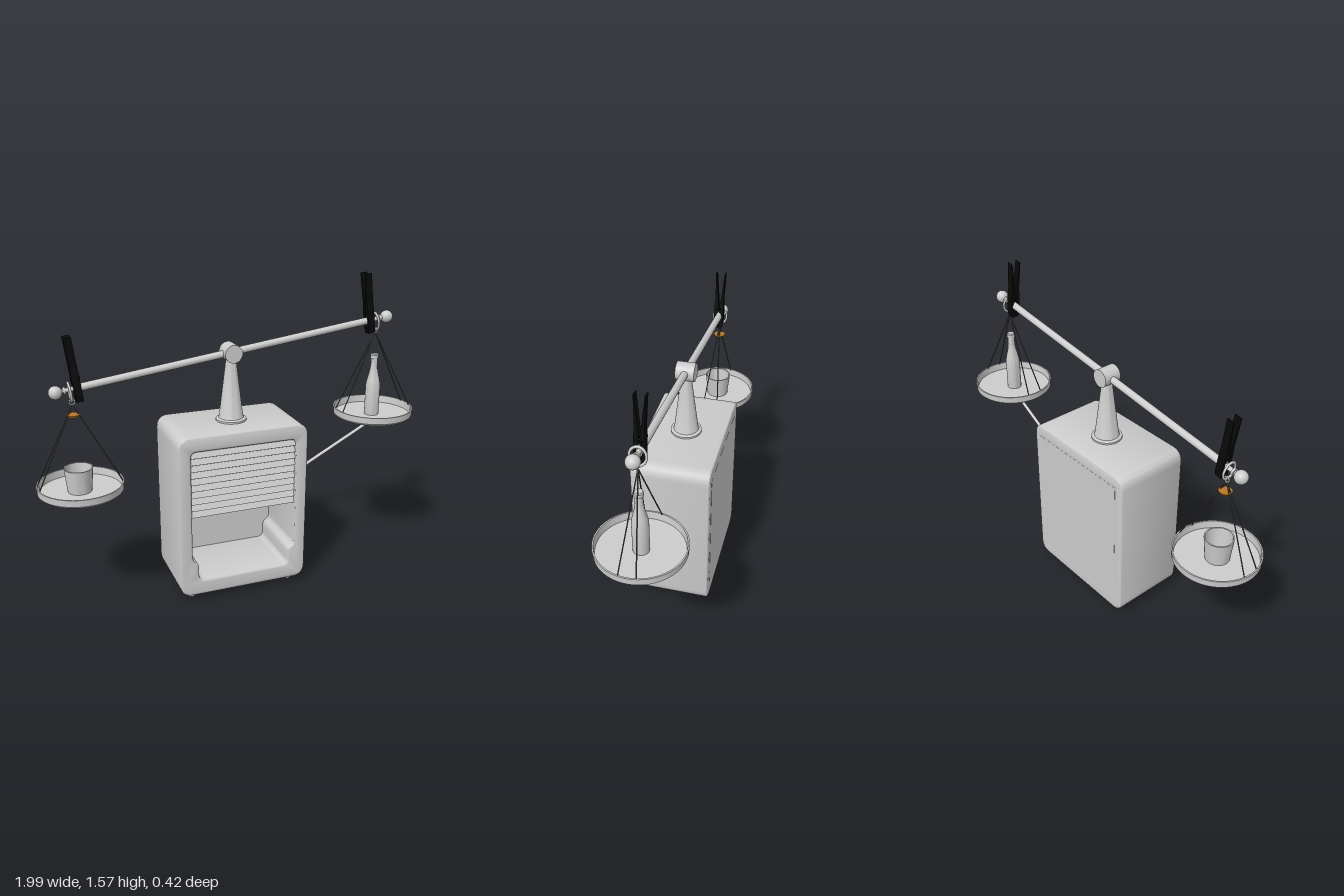
import * as THREE from 'three';
import { toCreasedNormals } from 'three/addons/utils/BufferGeometryUtils.js';

const mat = (name, color, extra = {}) => {
  const m = new THREE.MeshStandardMaterial({ color, ...extra });
  m.name = name;
  return m;
};

export function createModel() {
  const model = new THREE.Group();
  const grey = mat('light grey', 0xcccccc);
  const dark = mat('string grey', 0x555555);
  const black = mat('black', 0x0a0a0a);
  const amber = mat('amber', 0xb87828);
  const CX = -0.018;

  const add = (parent, name, geo, m = grey, x = 0, y = 0, z = 0) => {
    const mesh = new THREE.Mesh(geo, m);
    mesh.name = name;
    mesh.position.set(x, y, z);
    parent.add(mesh);
    return mesh;
  };
  const lathe = (pts, seg = 40) =>
    toCreasedNormals(new THREE.LatheGeometry(pts.map(p => new THREE.Vector2(...p)), seg), 0.6);
  // Straight round bar between two points
  const bar = (parent, name, a, b, r, m = grey, seg = 12) => {
    const A = new THREE.Vector3(...a), B = new THREE.Vector3(...b);
    const mesh = add(parent, name, new THREE.CylinderGeometry(r, r, A.distanceTo(B), seg), m);
    mesh.position.copy(A).add(B).multiplyScalar(0.5);
    mesh.quaternion.setFromUnitVectors(new THREE.Vector3(0, 1, 0), B.sub(A).normalize());
    return mesh;
  };
  // Closed outline with every corner rounded; corners are [x, y, radius]
  const rounded = (corners, target = new THREE.Shape()) => {
    const n = corners.length;
    corners.forEach(([x, y, r], i) => {
      const toward = ([px, py]) => {
        const d = Math.hypot(px - x, py - y);
        return [x + (px - x) * r / d, y + (py - y) * r / d];
      };
      const a = toward(corners[(i + n - 1) % n]), b = toward(corners[(i + 1) % n]);
      if (i === 0) target.moveTo(...a); else target.lineTo(...a);
      target.quadraticCurveTo(x, y, ...b);
    });
    target.closePath();
    return target;
  };

  // Cabinet: hollow shell with a stepped opening
  const opening = [
    [-0.24, 0.11, 0.03], [0.204, 0.11, 0.03], [0.222, 0.2, 0.02], [0.257, 0.222, 0.02],
    [0.257, 0.8, 0.03], [-0.29, 0.8, 0.03], [-0.29, 0.222, 0.02], [-0.258, 0.2, 0.02],
  ];
  opening[0][0] = -0.258;
  opening[1][0] = 0.222;
  const shell = rounded([[-0.355, 0.027, 0.065], [0.32, 0.027, 0.065], [0.32, 0.877, 0.065], [-0.355, 0.877, 0.065]]);
  shell.holes.push(rounded(opening, new THREE.Path()));
  const bevel = 0.012, depth = 0.392;
  const shellGeo = new THREE.ExtrudeGeometry(shell, {
    depth: depth - 2 * bevel, bevelEnabled: true, bevelThickness: bevel, bevelSize: bevel,
    bevelOffset: -bevel, bevelSegments: 4, curveSegments: 10,
  });
  shellGeo.translate(0, 0, -depth / 2 + bevel);
  const cabinet = new THREE.Group();
  cabinet.name = 'cabinet';
  model.add(cabinet);
  add(cabinet, 'cabinetShell', toCreasedNormals(shellGeo, 0.6));
  const plate = new THREE.BoxGeometry(0.575, 0.72, 0.05);
  add(cabinet, 'cabinetBack', plate, grey, -0.0165, 0.455, -0.1715);

  // Louvre slats across the upper part of the opening
  for (let i = 0; i < 10; i++) {
    const slat = add(cabinet, 'louvreSlat', new THREE.BoxGeometry(0.545, 0.04, 0.012), grey, -0.0165, 0.782 - i * 0.0345, 0.172);
    slat.rotation.x = -0.45;
  }

  // Feet
  for (const x of [-0.286, 0.25]) for (const z of [-0.137, 0.137])
    add(cabinet, 'foot', new THREE.CylinderGeometry(0.024, 0.019, 0.03, 20), grey, x, 0.015, z);

  // Column and pivot
  add(model, 'column', lathe([[0, 0.87], [0.077, 0.87], [0.077, 0.886], [0.063, 0.892], [0.06, 0.9], [0.024, 1.2], [0, 1.2]]), grey, CX);
  const pivot = add(model, 'pivot', new THREE.CylinderGeometry(0.045, 0.045, 0.092, 32), grey, CX, 1.222);
  pivot.rotation.x = Math.PI / 2;

  // Tilted beam with balls, hanging rings and pegs
  const beam = new THREE.Group();
  beam.name = 'beamAssembly';
  beam.position.set(CX, 1.222, 0);
  beam.rotation.z = 0.1337;
  model.add(beam);
  bar(beam, 'beam', [-0.775, 0, 0], [0.775, 0, 0], 0.018, grey, 24);

  const prong = new THREE.Shape();
  [[0.004, -0.065], [0.018, -0.065], [0.025, -0.03], [0.025, 0.06], [0.021, 0.1], [0.026, 0.245], [0.022, 0.245],
    [0.002, 0.06], [0.002, 0.03], [0.014, 0.018], [0.014, -0.018], [0.004, -0.03]]
    .forEach(([z, y], i) => (i ? prong.lineTo(z, y) : prong.moveTo(z, y)));
  const prongGeo = new THREE.ExtrudeGeometry(prong, { depth: 0.036, bevelEnabled: false });
  prongGeo.translate(0, 0, -0.018);
  prongGeo.rotateY(-Math.PI / 2);

  for (const s of [-1, 1]) {
    bar(beam, 'beamNeck', [s * 0.77, 0, 0], [s * 0.85, 0, 0], 0.011, grey, 16);
    add(beam, 'endBall', new THREE.SphereGeometry(0.032, 28, 18), grey, s * 0.863);
    const collar = add(beam, 'beamCollar', new THREE.CylinderGeometry(0.017, 0.017, 0.012, 20), grey, s * 0.822);
    collar.rotation.z = Math.PI / 2;
    const ring = add(beam, 'hangingRing', new THREE.TorusGeometry(0.036, 0.006, 10, 28), grey, s * 0.798, -0.012);
    ring.rotation.y = Math.PI / 2;
    ring.scale.y = 1.2;

    const peg = new THREE.Group();
    peg.name = 'clothesPeg';
    peg.position.x = s * 0.762;
    beam.add(peg);
    add(peg, 'pegProng', prongGeo, black);
    add(peg, 'pegProng', prongGeo, black).rotation.y = Math.PI;
    for (let k = -1; k <= 1; k++) {
      const coil = add(peg, 'pegSpring', new THREE.TorusGeometry(0.009, 0.0035, 8, 16), black, k * 0.019, 0.045);
      coil.rotation.y = Math.PI / 2;
    }
  }

  // Pans hung on paired strings
  const panGeo = lathe([[0, 0], [0.1, 0.003], [0.165, 0.013], [0.197, 0.025], [0.207, 0.036], [0.209, 0.07],
    [0.202, 0.07], [0.198, 0.032], [0, 0.028]], 56);
  const hangPan = (name, x, y, apex) => {
    const g = new THREE.Group();
    g.name = name;
    model.add(g);
    add(g, 'pan', panGeo, grey, x, y);
    for (const sx of [-1, 1]) for (const sz of [-1, 1])
      bar(g, 'string', [apex[0], apex[1], 0], [x + sx * 0.199, y + 0.066, sz * 0.04], 0.003, dark, 6);
    add(g, 'stringLoop', new THREE.TorusGeometry(0.013, 0.004, 8, 20), grey, apex[0], apex[1] + 0.012);
    return g;
  };
  const rightPan = hangPan('rightPan', -0.788, 0.578, [-0.8, 1.043]);
  const leftPan = hangPan('leftPan', 0.788, 0.786, [0.778, 1.257]);

  // Weight bead on the lower strings
  add(rightPan, 'bead', new THREE.CylinderGeometry(0.032, 0.025, 0.012, 24), amber, -0.799, 0.989);

  // Open cup and bottle
  add(rightPan, 'cup', lathe([[0, 0], [0.058, 0], [0.07, 0.121], [0.064, 0.121], [0.053, 0.01], [0, 0.01]]), grey, -0.793, 0.606);
  add(leftPan, 'bottle', lathe([[0, 0], [0.037, 0], [0.038, 0.01], [0.038, 0.16], [0.034, 0.185], [0.022, 0.235], [0.018, 0.265],
    [0.017, 0.305], [0.021, 0.307], [0.021, 0.325], [0.017, 0.33], [0, 0.33]], 32), grey, 0.783, 0.814);

  // Prop rod from the cabinet side to the raised pan
  bar(model, 'propRod', [0.3, 0.519, 0], [0.81, 0.79, 0], 0.009);
  return model;
}
